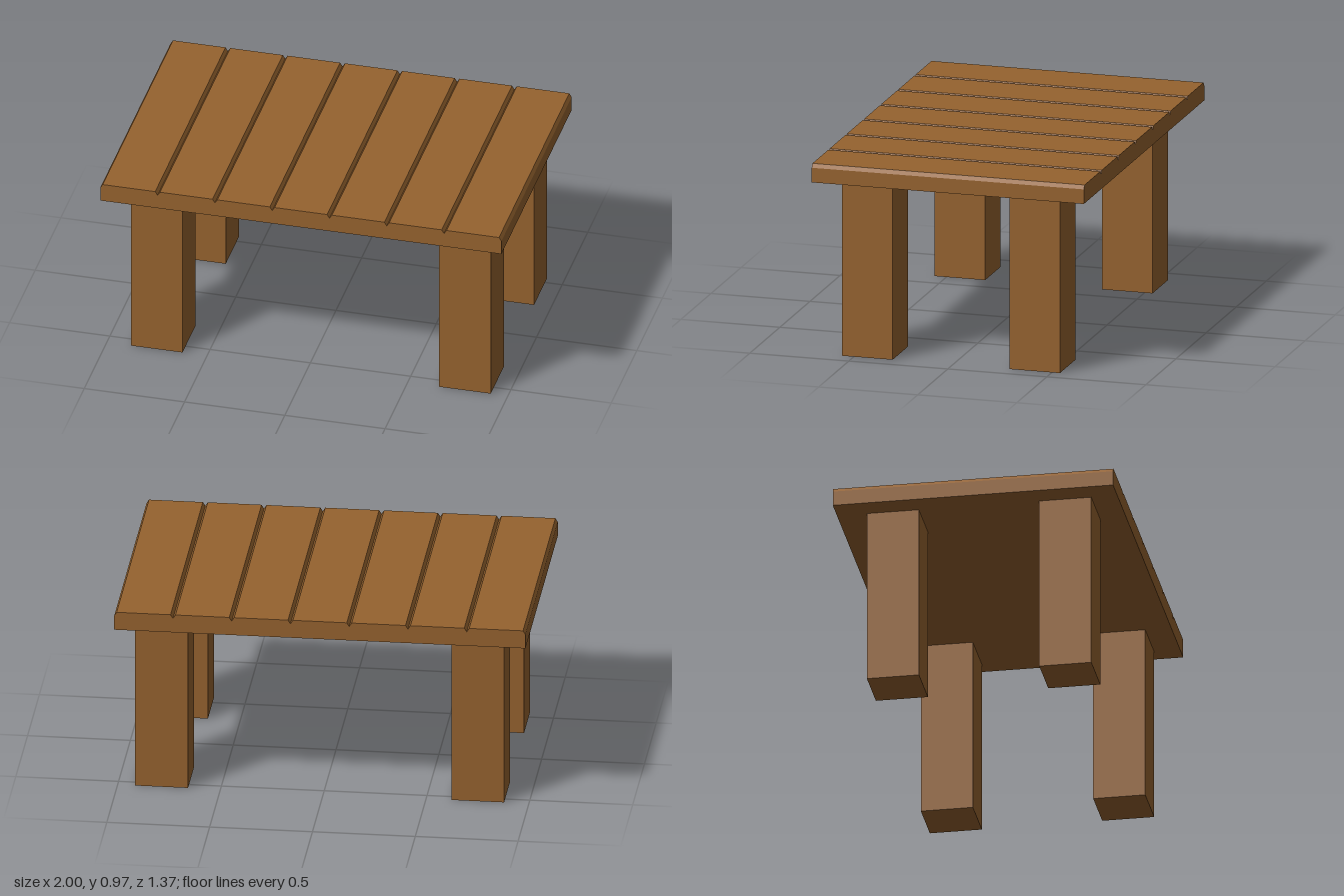
import * as THREE from 'three';

export function createModel() {
  const table = new THREE.Group();
  table.name = 'table';
  const wood = new THREE.MeshStandardMaterial({ color: 0x96632f, flatShading: true });

  // Tabletop: plank profile with chamfered edges forming V grooves, extruded along z
  const planks = 7, width = 2 / planks, depth = 1.374;
  const bottom = 0.88, grooveY = 0.953, top = 0.972, bevel = 0.012;
  const profile = new THREE.Shape();
  profile.moveTo(1, bottom);
  for (let i = planks - 1; i >= 0; i--) {
    const left = -1 + i * width, right = left + width;
    profile.lineTo(right, grooveY);
    profile.lineTo(right - bevel, top);
    profile.lineTo(left + bevel, top);
  }
  profile.lineTo(-1, grooveY);
  profile.lineTo(-1, bottom);
  const topGeometry = new THREE.ExtrudeGeometry(profile, { depth, bevelEnabled: false });
  topGeometry.translate(0, 0, -depth / 2);
  const tabletop = new THREE.Mesh(topGeometry, wood);
  tabletop.name = 'tabletop';
  table.add(tabletop);

  // Four square legs, set slightly off centre under the top
  const legGeometry = new THREE.BoxGeometry(0.257, bottom, 0.255);
  for (const [side, x] of [['Right', -0.751], ['Left', 0.786]]) {
    for (const [end, z] of [['front', 0.432], ['back', -0.413]]) {
      const leg = new THREE.Mesh(legGeometry, wood);
      leg.name = `${end}${side}Leg`;
      leg.position.set(x, bottom / 2, z);
      table.add(leg);
    }
  }
  return table;
}
